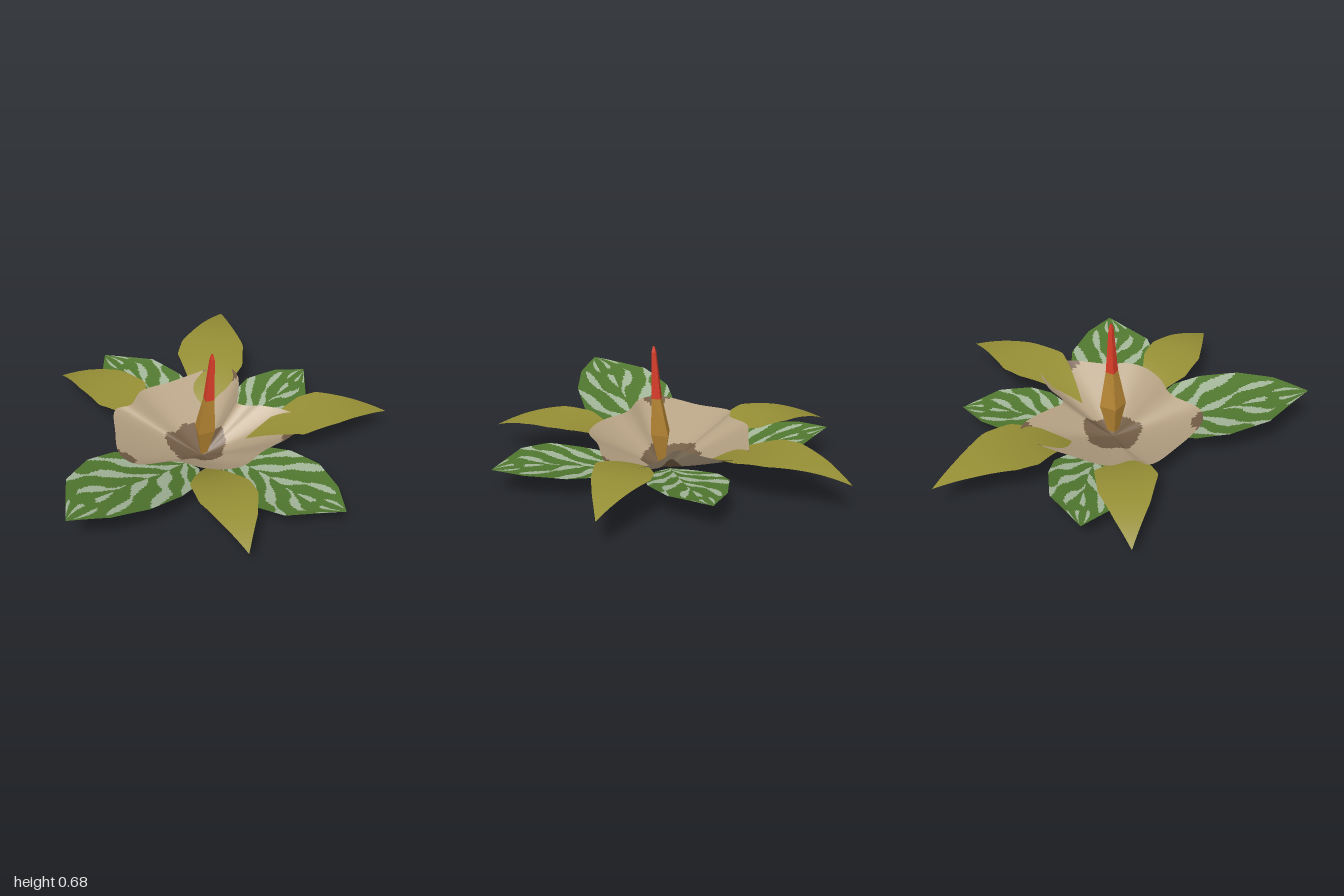
import * as THREE from 'three';

const mat = (name, color) => {
  const m = new THREE.MeshStandardMaterial({ color, side: THREE.DoubleSide });
  m.name = name;
  return m;
};

// Sheet over a grid: point(u, v) gives the position, pick(u, v, p) the material index.
function sheet(name, nu, nv, point, materials, pick = () => 0) {
  const pos = [];
  for (let i = 0; i <= nu; i++)
    for (let j = 0; j <= nv; j++) pos.push(...point(i / nu, j / nv));
  const lists = materials.map(() => []);
  for (let i = 0; i < nu; i++)
    for (let j = 0; j < nv; j++) {
      const a = i * (nv + 1) + j, b = a + nv + 1;
      const u = (i + 0.5) / nu, v = (j + 0.5) / nv;
      lists[pick(u, v, point(u, v))].push(a, a + 1, b, b, a + 1, b + 1);
    }
  const geo = new THREE.BufferGeometry();
  geo.setAttribute('position', new THREE.Float32BufferAttribute(pos, 3));
  geo.setIndex(lists.flat());
  let start = 0;
  lists.forEach((l, k) => { geo.addGroup(start, l.length, k); start += l.length; });
  geo.computeVertexNormals();
  const mesh = new THREE.Mesh(geo, materials);
  mesh.name = name;
  return mesh;
}

// Position along a list of points, t from 0 to 1.
function along(pts, t) {
  const f = t * (pts.length - 1), i = Math.min(Math.floor(f), pts.length - 2);
  return pts[i].map((c, k) => c + (pts[i + 1][k] - c) * (f - i));
}

// Blade drawn in plan between two edges from base to tip; height(r, R) follows the distance
// from the flower's centre, and the middle sinks by cup.
function blade(base, edgeA, edgeB, tip, height, cup) {
  const a = [base, ...edgeA, tip], b = [base, ...edgeB, tip], R = Math.hypot(...tip);
  return (u, v) => {
    const p = along(a, u), q = along(b, u);
    const x = p[0] + (q[0] - p[0]) * v, z = p[1] + (q[1] - p[1]) * v;
    return [x, height(Math.hypot(x, z), R) - cup * 4 * v * (1 - v) * Math.sin(Math.PI * u), z];
  };
}

// Pale streaks sweep from the midrib towards the edges and thin out at the tip.
function leafStreak(u, v) {
  const d = Math.abs(2 * v - 1), side = v < 0.5 ? 0 : 0.45;
  const wave = Math.sin(2 * Math.PI * (4.5 * u - 1.7 * d + side + 0.06 * Math.sin(17 * v + 11 * u)));
  const gaps = 0.45 * Math.sin(9 * d + 7 * u + 6 * side);
  return +(wave > 0.1 + 0.85 * u * u + gaps);
}

export function createModel() {
  const group = new THREE.Group();
  const tan = mat('tan', 0xb5a183), brown = mat('brown', 0x735d46);
  const green = mat('leafGreen', 0x50772f), pale = mat('paleGreen', 0xa2b598);
  const olive = mat('oliveYellow', 0x958e35);
  const gold = mat('gold', 0xb38332), red = mat('red', 0xd83c28);

  // Lobed funnel flower with a brown heart and blotched rim
  const rim = new THREE.CatmullRomCurve3([
    [-0.1, -0.51], [-0.01, -0.48], [0.08, -0.32], [0.11, -0.25], [0.16, -0.25], [0.24, -0.29],
    [0.42, -0.3], [0.48, -0.16], [0.4, 0.05], [0.37, 0.18], [0.31, 0.25], [0.2, 0.3], [0.05, 0.32],
    [-0.11, 0.43], [-0.22, 0.41], [-0.36, 0.23], [-0.45, 0.07], [-0.4, 0], [-0.41, -0.13], [-0.32, -0.26],
  ].map(([x, z]) => new THREE.Vector3(x, x < -0.3 ? 0.185 : 0.21, z)), true);
  const blotches = [[-0.09, -0.47, 0.085, 0.06], [0.46, -0.22, 0.05, 0.12], [-0.2, 0.41, 0.07, 0.05],
    [-0.01, -0.01, 0.155, 0.145]];
  group.add(sheet('flowerFunnel', 144, 40, (u, v) => {
    const r = rim.getPoint(u);
    return [0.03 + (r.x - 0.03) * v, 0.005 + (r.y - 0.005) * Math.pow(v, 1.12), r.z * v];
  }, [tan, brown], (u, v, p) => +blotches.some(([x, z, rx, rz]) => {
    const a = Math.atan2(p[2] - z, p[0] - x);
    return Math.hypot((p[0] - x) / rx, (p[2] - z) / rz) < 1 + 0.07 * Math.sin(5 * a) + 0.04 * Math.sin(9 * a);
  })));

  // Variegated leaves, rising and levelling off towards the tip
  const leaf = (name, tipY, curve, base, edgeA, edgeB, tip) => {
    const height = (r, R) => tipY * (1 - Math.pow(Math.max(0, 1 - r / R), curve));
    group.add(sheet(name, 90, 60, blade(base, edgeA, edgeB, tip, height, 0.02), [green, pale], leafStreak));
  };
  leaf('frontLeaf', 0.27, 1.6, [0.02, 0.12],
    [[0.12, 0.2], [0.2, 0.38], [0.19, 0.52], [0.12, 0.71], [0, 0.87]],
    [[-0.15, 0.22], [-0.29, 0.36], [-0.35, 0.52], [-0.34, 0.73]], [-0.17, 1]);
  leaf('rightLeaf', 0.147, 2, [0.13, 0.03],
    [[0.3, -0.12], [0.48, -0.13], [0.66, -0.08], [0.82, 0.05]],
    [[0.25, 0.17], [0.38, 0.27], [0.51, 0.36], [0.67, 0.36]], [0.925, 0.2]);
  leaf('backLeaf', 0.157, 2, [0.06, -0.1],
    [[0.03, -0.28], [0, -0.44], [0.02, -0.55], [0.13, -0.68]],
    [[0.2, -0.17], [0.33, -0.27], [0.38, -0.37], [0.38, -0.54]], [0.27, -0.755]);
  leaf('leftLeaf', 0.158, 2, [-0.09, -0.04],
    [[-0.25, -0.02], [-0.4, -0.04], [-0.56, -0.09], [-0.7, -0.2]],
    [[-0.15, -0.25], [-0.23, -0.37], [-0.33, -0.42], [-0.52, -0.452]], [-0.775, -0.355]);

  // Yellow petals arching up and drooping to the tip
  const petal = (name, tipY, base, edgeA, edgeB, tip) => {
    const height = (r, R) => {
      const s = (r - 0.2) / (R - 0.2);
      return 0.07 + (tipY - 0.07) * s + 0.44 * s * (1 - s);
    };
    group.add(sheet(name, 36, 10, blade(base, edgeA, edgeB, tip, height, 0), [olive]));
  };
  petal('leftPetal', 0.1, [-0.2, -0.02],
    [[-0.37, 0.04], [-0.45, 0.075], [-0.54, 0.09], [-0.72, 0]],
    [[-0.36, -0.1], [-0.43, -0.21], [-0.6, -0.23], [-0.78, -0.19]], [-0.93, -0.145]);
  petal('backPetal', 0.18, [-0.1, -0.2],
    [[-0.25, -0.36], [-0.37, -0.47], [-0.4, -0.58], [-0.39, -0.8]],
    [[-0.02, -0.4], [-0.01, -0.55], [-0.08, -0.7], [-0.25, -0.87]], [-0.37, -1]);
  petal('backRightPetal', 0.17, [0.22, -0.12],
    [[0.32, -0.3], [0.38, -0.43], [0.45, -0.5], [0.63, -0.55]],
    [[0.44, -0.14], [0.54, -0.16], [0.66, -0.31], [0.74, -0.45]], [0.815, -0.6]);
  petal('frontRightPetal', 0.15, [0.13, 0.15],
    [[0.33, 0.24], [0.44, 0.28], [0.52, 0.35], [0.58, 0.48]],
    [[0.16, 0.32], [0.19, 0.44], [0.3, 0.55], [0.46, 0.62]], [0.635, 0.685]);

  // Four-sided central spike, gold below and red above: [y, centre x, half x, half z]
  const spike = (name, rows, material) => {
    const m = sheet(name, rows.length - 1, 4, (u, v) => {
      const [y, x, hx, hz] = along(rows, u), a = -v * Math.PI * 2;
      return [x + hx * Math.cos(a), y, hz * Math.sin(a) + 0.005];
    }, [material]);
    m.geometry = m.geometry.toNonIndexed();
    m.geometry.computeVertexNormals();
    group.add(m);
  };
  const joint = [0.4, 0.07, 0.032, 0.033];
  spike('spikeBase', [[0.04, 0.04, 0.022, 0.03], [0.2, 0.048, 0.058, 0.07], joint], gold);
  spike('spikeTip', [joint, [0.65, 0.086, 0.015, 0.014], [0.68, 0.087, 0.006, 0.006]], red);

  return group;
}
